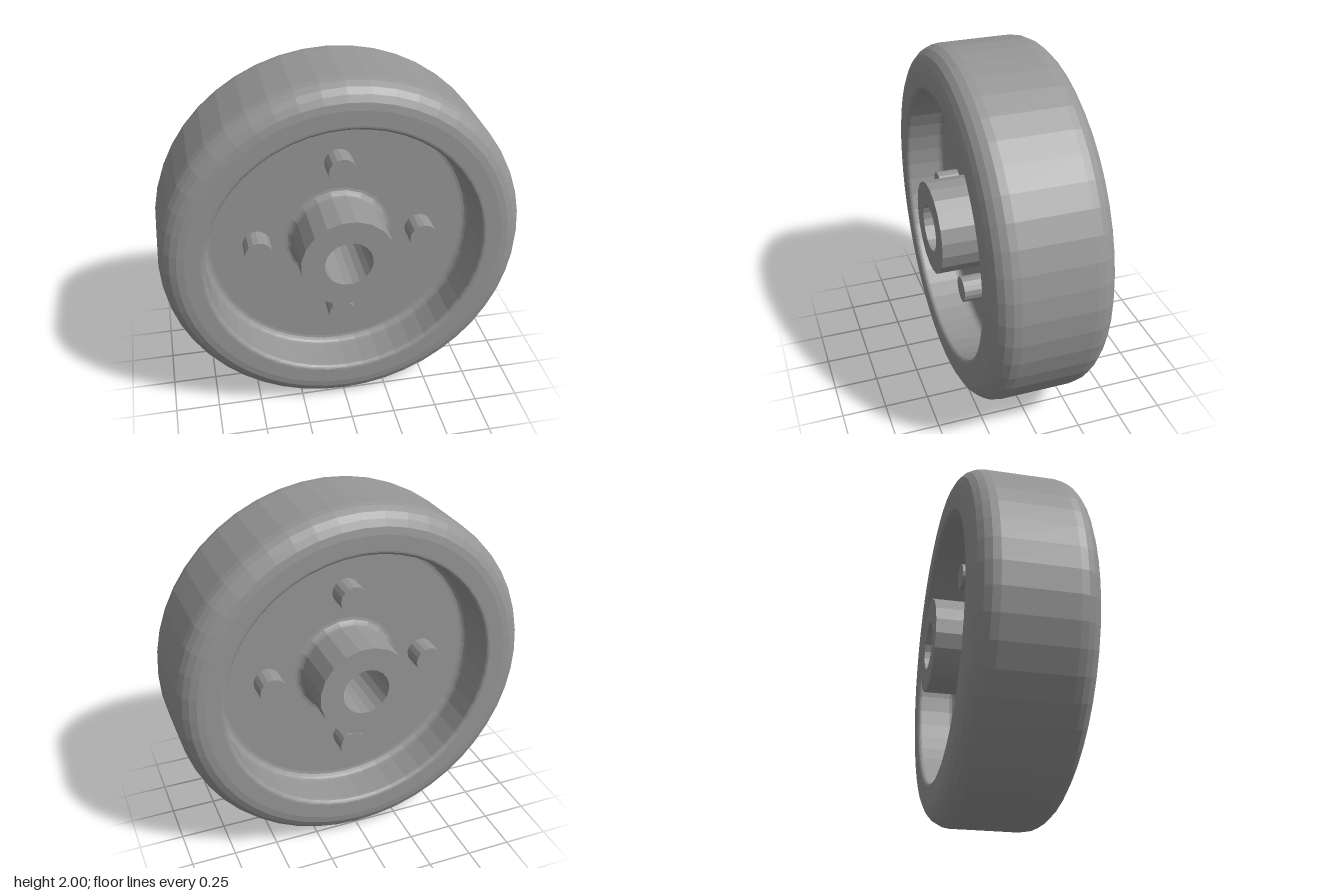
import * as THREE from 'three';

const material = new THREE.MeshStandardMaterial({ color: 0x969696, flatShading: true });

// Points of a rounded corner in the (radius, z) profile plane, angles in quarter turns
function arc(r, z, radius, from, to, steps = 5) {
  return Array.from({ length: steps + 1 }, (_, i) => {
    const a = (from + (to - from) * i / steps) * Math.PI / 2;
    return new THREE.Vector2(r + radius * Math.cos(a), z + radius * Math.sin(a));
  });
}

// Profile turned about the z axis
function turned(name, points, segments, phase = 0) {
  const geometry = new THREE.LatheGeometry(points, segments, phase);
  geometry.rotateX(Math.PI / 2);
  const mesh = new THREE.Mesh(geometry, material);
  mesh.name = name;
  return mesh;
}

const HALF_WIDTH = 0.325, WEB_Z = 0.08, HUB_Z = 0.38, PEG_Z = 0.205;
const RIM_R = 0.76, HUB_R = 0.263, BORE_R = 0.133;

// Everything on one face of the wheel
function createSide(name) {
  const side = new THREE.Group();
  side.name = name;

  // Lip, recess wall and flat web
  side.add(turned('rimAndWeb', [
    new THREE.Vector2(0.87, HALF_WIDTH),
    ...arc(RIM_R + 0.025, HALF_WIDTH - 0.025, 0.025, 1, 2, 4),
    ...arc(RIM_R - 0.04, WEB_Z + 0.04, 0.04, 0, -1, 4),
    new THREE.Vector2(HUB_R + 0.01, WEB_Z),
  ], 48));

  // Hub with a fillet at its foot and a bore
  side.add(turned('hub', [
    ...arc(HUB_R + 0.04, WEB_Z + 0.04, 0.04, 3, 2, 4),
    new THREE.Vector2(HUB_R, HUB_Z),
    new THREE.Vector2(BORE_R, HUB_Z),
    new THREE.Vector2(BORE_R, 0),
  ], 20, Math.PI / 20));

  // Four pegs standing on the web
  const length = PEG_Z - WEB_Z + 0.01;
  const pegGeometry = new THREE.CylinderGeometry(0.077, 0.077, length, 16).rotateX(Math.PI / 2);
  for (let i = 0; i < 4; i++) {
    const a = i * Math.PI / 2;
    const peg = new THREE.Mesh(pegGeometry, material);
    peg.name = 'peg';
    peg.position.set(0.462 * Math.cos(a), 0.462 * Math.sin(a), PEG_Z - length / 2);
    side.add(peg);
  }
  return side;
}

export function createModel() {
  const wheel = new THREE.Group();
  wheel.name = 'wheel';

  // Tread with rounded shoulders
  wheel.add(turned('tread', [
    ...arc(0.87, -HALF_WIDTH + 0.13, 0.13, -1, 0),
    ...arc(0.87, HALF_WIDTH - 0.13, 0.13, 0, 1),
  ], 48));

  const front = createSide('frontSide');
  const back = createSide('backSide');
  back.rotation.y = Math.PI;
  wheel.add(front, back);
  wheel.position.y = 1;

  const model = new THREE.Group();
  model.name = 'wheelModel';
  model.add(wheel);
  return model;
}
